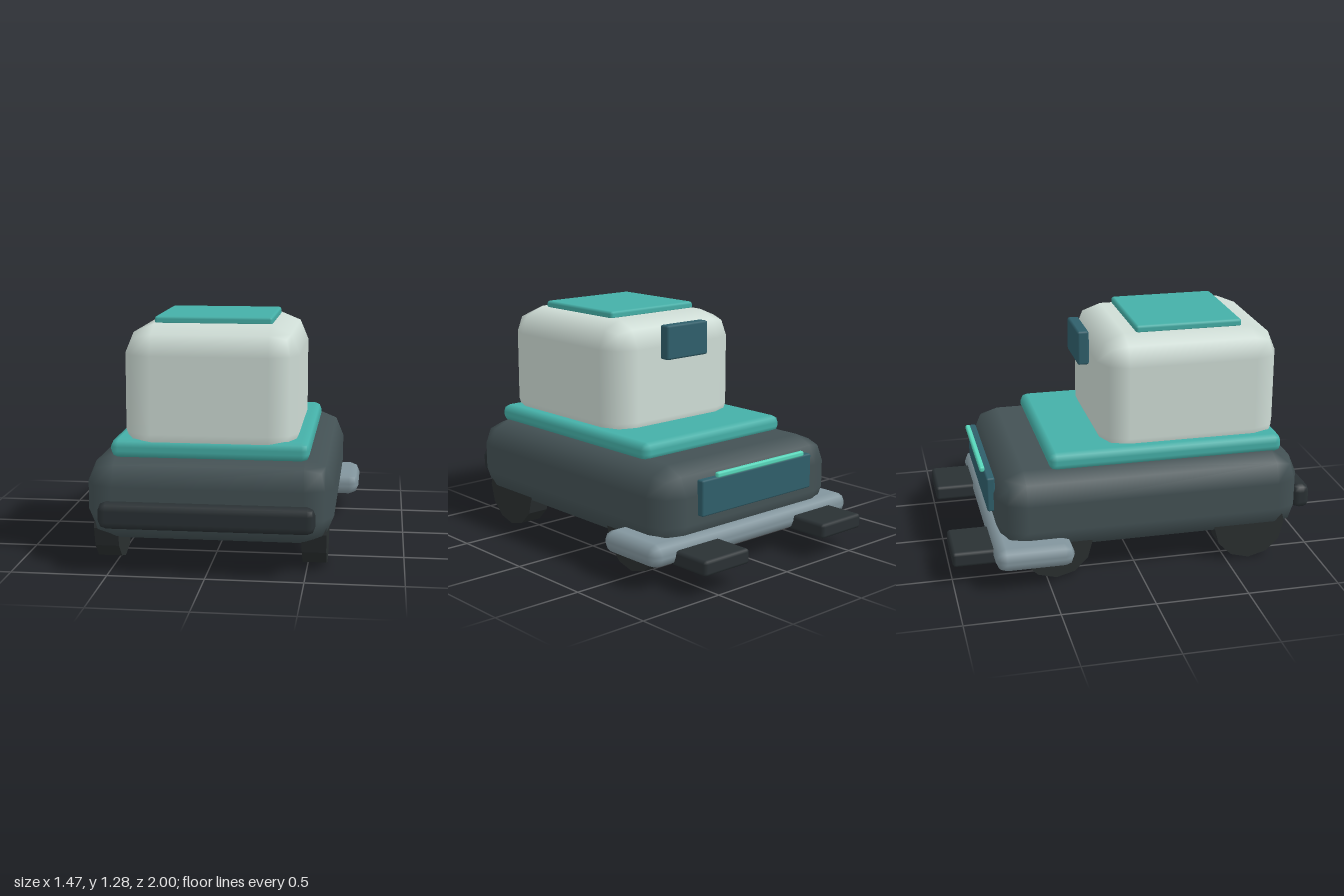
import * as THREE from 'three';
import { RoundedBoxGeometry } from 'three/addons/geometries/RoundedBoxGeometry.js';

export function createModel() {
  const model = new THREE.Group();
  model.name = 'vehicle';

  const paint = (color) => new THREE.MeshStandardMaterial({ color });
  const charcoal = paint(0x435154);
  const ivory = paint(0xcfddd6);
  const teal = paint(0x45b0a8);
  const black = paint(0x2a3134);
  const steel = paint(0x82959d);
  const petrol = paint(0x2f5f6b);
  const mint = paint(0x58d8bc);
  const rubber = paint(0x2a2f30);
  rubber.flatShading = true;

  // Bevelled block given by its [min, max] extent on each axis
  function block(name, material, [x0, x1], [y0, y1], [z0, z1], radius) {
    const geometry = new RoundedBoxGeometry(x1 - x0, y1 - y0, z1 - z0, 1, radius);
    const mesh = new THREE.Mesh(geometry, material);
    mesh.position.set((x0 + x1) / 2, (y0 + y1) / 2, (z0 + z1) / 2);
    mesh.name = name;
    model.add(mesh);
  }

  // Body, deck and cabin
  block('body', charcoal, [-0.637, 0.637], [0.14, 0.59], [-0.75, 0.925], 0.15);
  block('deck', teal, [-0.51, 0.51], [0.57, 0.67], [-0.46, 0.835], 0.04);
  block('cabin', ivory, [-0.45, 0.45], [0.55, 1.25], [-0.16, 0.84], 0.15);
  block('roofPanel', teal, [-0.305, 0.305], [1.24, 1.285], [0.055, 0.645], 0.015);

  // Bumpers
  block('frontBumper', black, [-0.55, 0.55], [0.235, 0.373], [0.9, 1.0], 0.04);
  block('rearBumper', steel, [-0.737, 0.737], [0.115, 0.24], [-0.785, -0.365], 0.055);

  // Rear fittings
  block('rearPanel', petrol, [-0.41, 0.41], [0.333, 0.527], [-0.785, -0.74], 0.01);
  block('rearLightBar', mint, [-0.325, 0.325], [0.53, 0.56], [-0.81, -0.782], 0.01);
  block('cabinRearPlate', petrol, [-0.15, 0.15], [1.035, 1.225], [-0.232, -0.168], 0.012);

  // Rear steps and wheels, mirrored left and right
  const wheelGeometry = new THREE.CylinderGeometry(0.2, 0.2, 0.125, 12);
  wheelGeometry.rotateZ(Math.PI / 2);
  for (const [side, s] of [['left', 1], ['right', -1]]) {
    const xs = s > 0 ? [0.28, 0.592] : [-0.592, -0.28];
    block(side + 'RearStep', black, xs, [0.112, 0.195], [-1.0, -0.7], 0.018);
    for (const [end, z] of [['Front', 0.63], ['Rear', -0.45]]) {
      const wheel = new THREE.Mesh(wheelGeometry, rubber);
      wheel.position.set(s * 0.538, 0.2, z);
      wheel.name = side + end + 'Wheel';
      model.add(wheel);
    }
  }

  return model;
}
